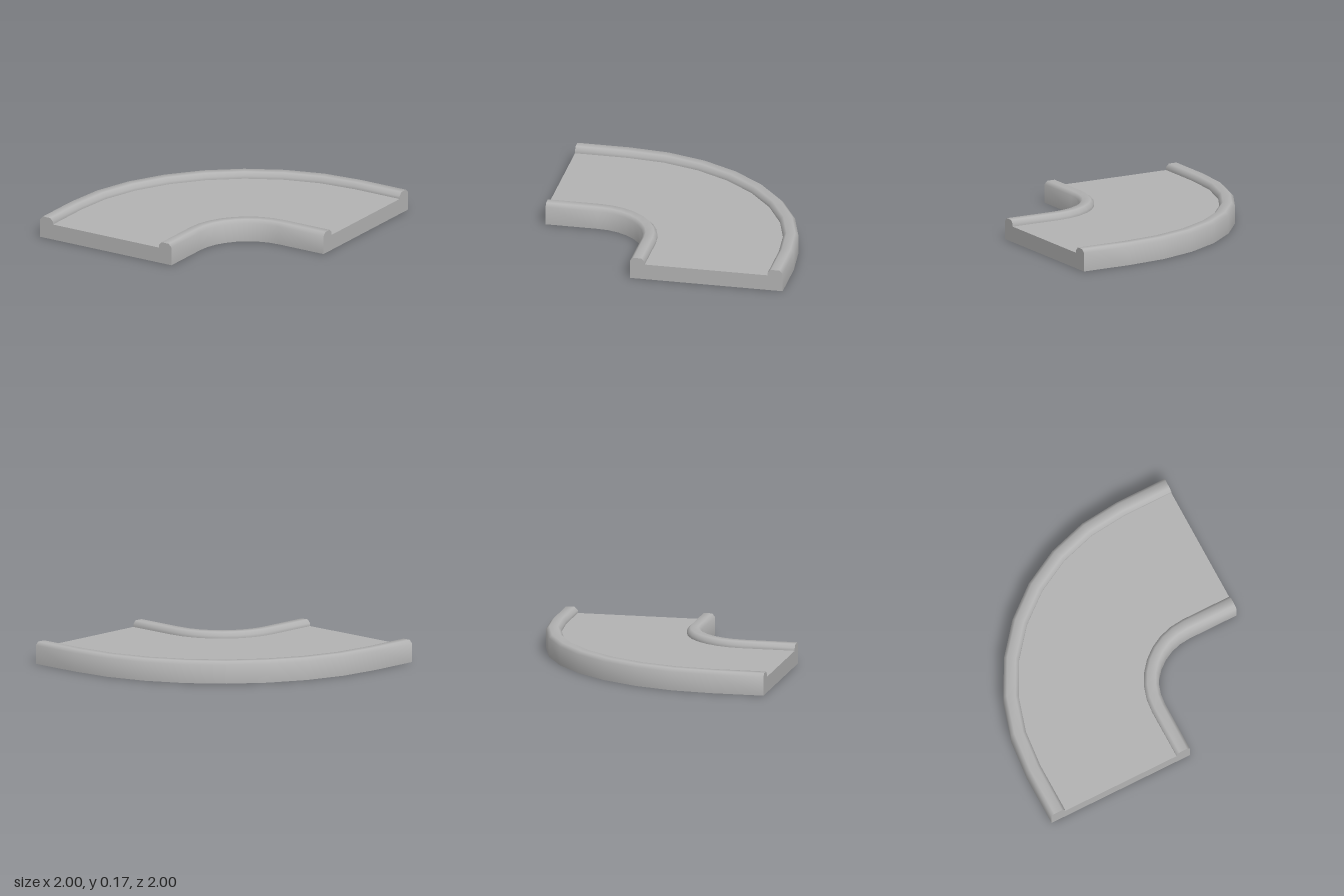
import * as THREE from 'three';
import { toCreasedNormals } from 'three/addons/utils/BufferGeometryUtils.js';

const CENTER = 0.6;            // bend centre on x and z
const SEGMENTS = 8;            // facets in the quarter bend
const BASE = 0.12, TOP = 0.167, CHAMFER = 0.025;
const OUTER = [1.6, 1.485], INNER = [0.54, 0.427];   // rail radii

// Rail cross-section above the deck, as [radius, height], from r0 to r1
const railTop = ([r0, r1]) => [
  [r0, TOP - CHAMFER], [r0 - CHAMFER, TOP], [r1 + CHAMFER, TOP], [r1, TOP - CHAMFER],
];
const outerProfile = [[OUTER[0], 0], ...railTop(OUTER), [OUTER[1], BASE]];
const innerProfile = [[INNER[0], BASE], ...railTop(INNER), [INNER[1], 0]];

// Path: straight, quarter bend, straight
function pathPoint(j, r, y) {
  if (j === 0) return [CENTER - r, y, 1];
  if (j === SEGMENTS + 2) return [1, y, CENTER - r];
  const t = ((j - 1) / SEGMENTS) * Math.PI / 2;
  return [CENTER - r * Math.cos(t), y, CENTER - r * Math.sin(t)];
}

// Sweep an open profile along the path
function sweep(profile) {
  const n = profile.length, pos = [], index = [];
  for (let j = 0; j <= SEGMENTS + 2; j++) {
    for (const [r, y] of profile) pos.push(...pathPoint(j, r, y));
  }
  for (let j = 0; j < SEGMENTS + 2; j++) {
    for (let i = 0; i < n - 1; i++) {
      const a = j * n + i, d = a + n;
      index.push(a, a + 1, d + 1, a, d + 1, d);
    }
  }
  const geo = new THREE.BufferGeometry();
  geo.setAttribute('position', new THREE.Float32BufferAttribute(pos, 3));
  geo.setIndex(index);
  return toCreasedNormals(geo, 1.0);
}

export function createModel() {
  const group = new THREE.Group();
  group.name = 'curvedTrackTile';
  const grey = new THREE.MeshStandardMaterial({ color: 0xb3b3b3 });
  grey.name = 'grey';

  const add = (name, geo) => {
    const mesh = new THREE.Mesh(geo, grey);
    mesh.name = name;
    group.add(mesh);
    return mesh;
  };

  // Rails with their walls, deck between them, flat underside
  add('outerRail', sweep(outerProfile));
  add('innerRail', sweep(innerProfile));
  add('deck', sweep([[OUTER[1], BASE], [INNER[0], BASE]]));
  add('underside', sweep([[INNER[1], 0], [OUTER[0], 0]]));

  // Flat ends showing the full cross-section
  const section = [...outerProfile, ...innerProfile];
  const endCap = (sign) => new THREE.ShapeGeometry(new THREE.Shape(
    section.map(([r, y]) => new THREE.Vector2(sign * (CENTER - r), y))));
  add('frontEnd', endCap(1)).position.z = 1;
  const side = add('leftEnd', endCap(-1));
  side.rotation.y = Math.PI / 2;
  side.position.x = 1;

  return group;
}
